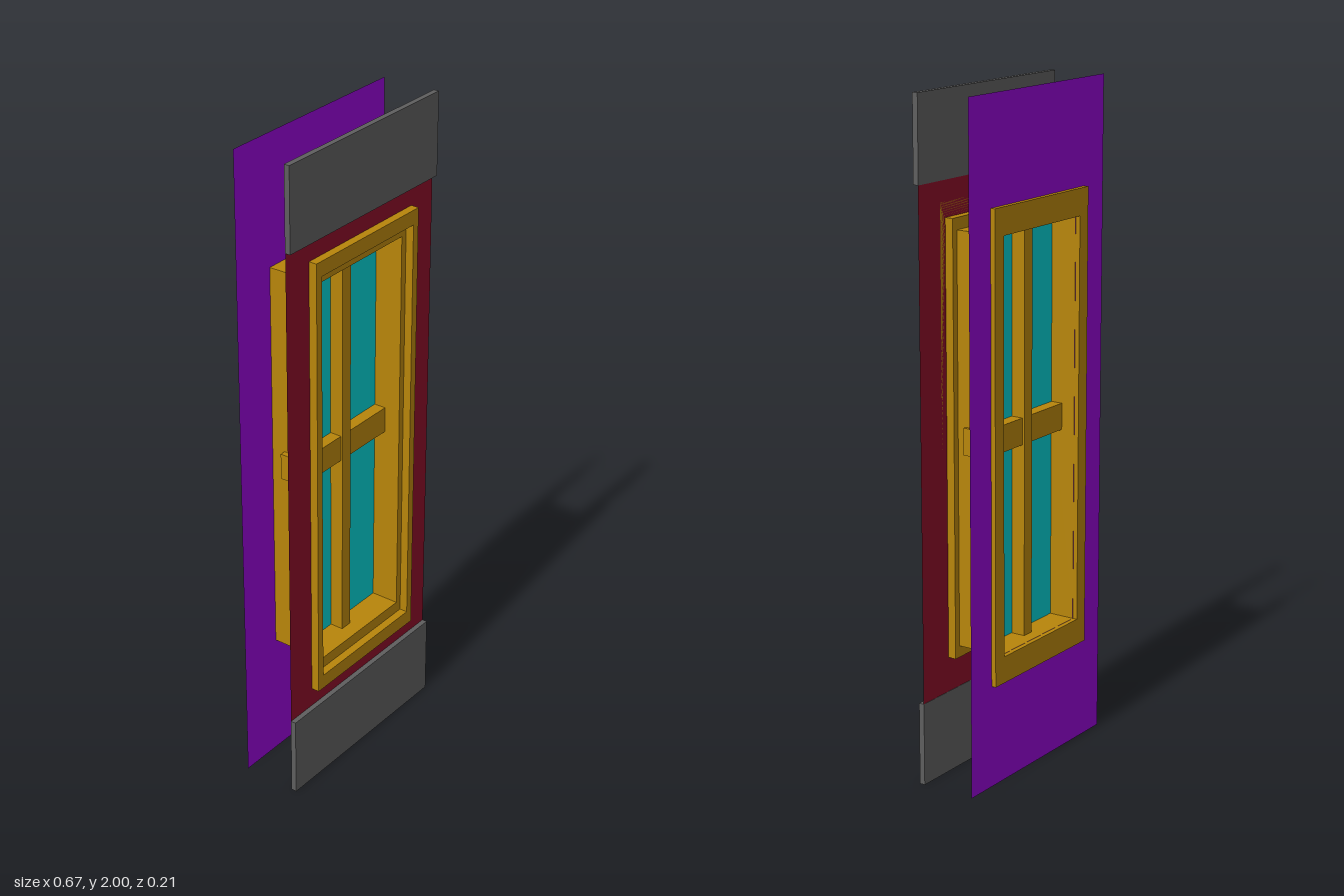
import * as THREE from 'three';

const paint = (color) => new THREE.MeshStandardMaterial({ color, side: THREE.DoubleSide });
const MID = 1; // height of the window's centre

// Rectangle centred on the origin, with an optional centred rectangular opening
function rect(hw, hh, holeW, holeH) {
  const corners = (w, h) => [[-w, -h], [w, -h], [w, h], [-w, h]].map(([x, y]) => new THREE.Vector2(x, y));
  const shape = new THREE.Shape(corners(hw, hh));
  if (holeW) shape.holes.push(new THREE.Path(corners(holeW, holeH).reverse()));
  return shape;
}

export function createModel() {
  const model = new THREE.Group();
  model.name = 'windowSection';
  const wood = paint(0xb8860b);
  const concrete = paint(0x5f5f5f);
  const brick = paint(0x8b0d28);
  const plaster = paint(0x9400d3);
  const glass = paint(0x00ced1);

  const add = (name, geometry, material, x = 0, y = MID, z = 0) => {
    const mesh = new THREE.Mesh(geometry, material);
    mesh.name = name;
    mesh.position.set(x, y, z);
    model.add(mesh);
  };
  const box = (name, material, x0, x1, y0, y1, z0, z1) =>
    add(name, new THREE.BoxGeometry(x1 - x0, y1 - y0, z1 - z0), material,
      (x0 + x1) / 2, (y0 + y1) / 2, (z0 + z1) / 2);
  const frame = (name, hw, hh, holeW, holeH, z0, z1) =>
    add(name, new THREE.ExtrudeGeometry(rect(hw, hh, holeW, holeH),
      { depth: z1 - z0, bevelEnabled: false }), wood, 0, MID, z0);

  // Outer and inner wall skins, open at the window
  add('outerWall', new THREE.ShapeGeometry(rect(0.333, 0.75, 0.21, 0.645)), brick, 0, MID, 0.078);
  add('innerWall', new THREE.ShapeGeometry(rect(0.333, 1, 0.19, 0.61)), plaster, 0, MID, -0.09);

  // Slab bands below and above the outer wall
  box('lowerBand', concrete, -0.333, 0.333, 0, 0.25, 0.077, 0.094);
  box('upperBand', concrete, -0.333, 0.333, 1.75, 2, 0.077, 0.094);

  // Stepped trim on the outside, flat trim on the inside
  frame('outerTrim', 0.233, 0.69, 0.21, 0.645, 0.078, 0.103);
  frame('trimStep', 0.21, 0.645, 0.19, 0.61, 0.053, 0.078);
  frame('innerTrim', 0.233, 0.69, 0.19, 0.61, -0.105, -0.091);

  // Thin lining of the opening between the trims
  const depth = 0.143, liningZ = -0.0185;
  for (const side of [-1, 1]) {
    const jamb = new THREE.PlaneGeometry(depth, 1.22).rotateY(side * Math.PI / 2);
    add(side < 0 ? 'rightJamb' : 'leftJamb', jamb, wood, side * 0.19, MID, liningZ);
    const lining = new THREE.PlaneGeometry(0.38, depth).rotateX(-side * Math.PI / 2);
    add(side < 0 ? 'sillLining' : 'headLining', lining, wood, 0, MID + side * 0.61, liningZ);
  }

  // Glass and the crossing bars
  add('glass', new THREE.PlaneGeometry(0.38, 1.22), glass, 0, MID, -0.01);
  box('verticalBar', wood, -0.024, 0.015, 0.39, 1.625, -0.054, 0.032);
  box('horizontalBar', wood, -0.208, 0.2, 0.97, 1.05, -0.047, 0.027);

  return model;
}
